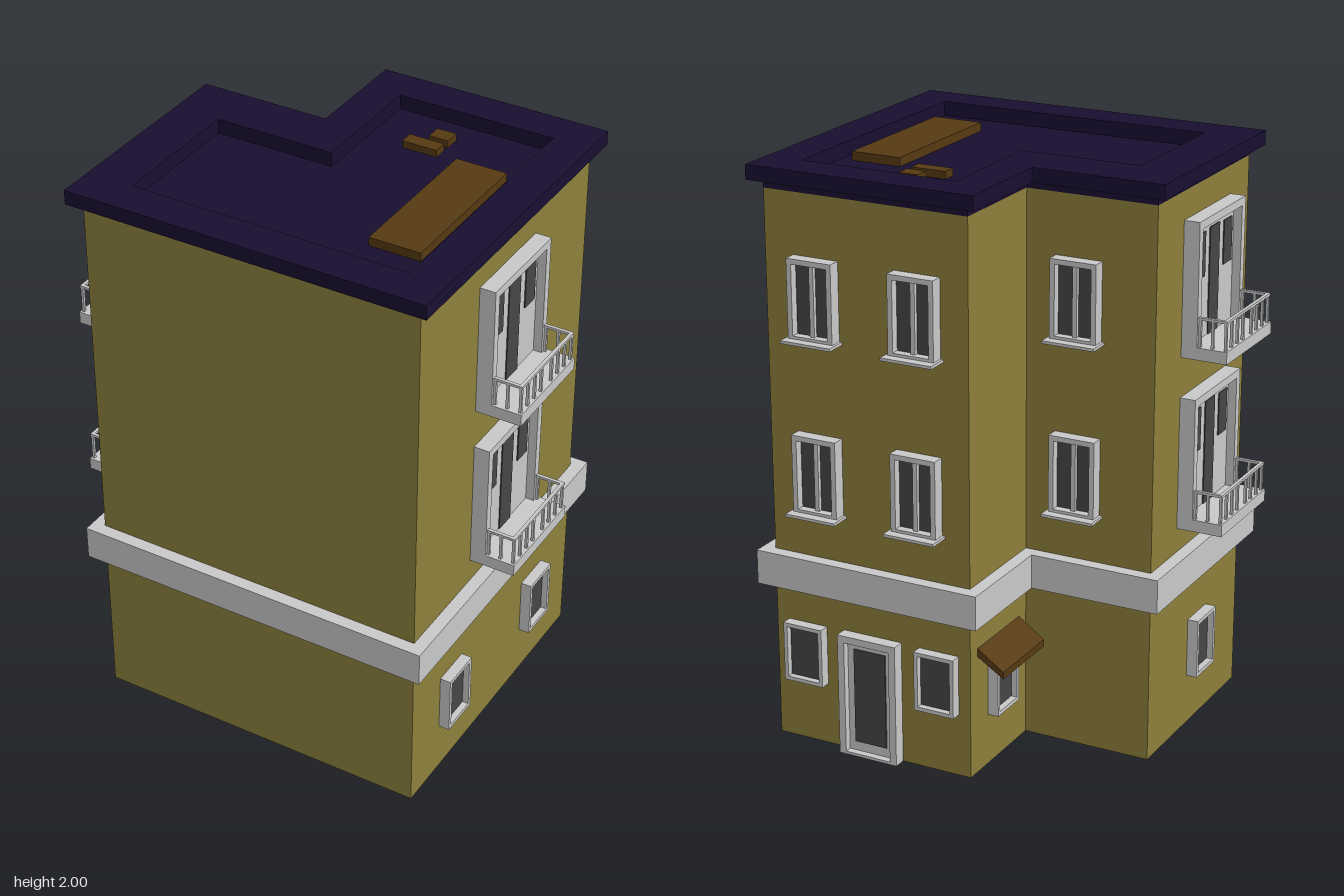
import * as THREE from 'three';

const mat = (color) => new THREE.MeshStandardMaterial({ color });
const wallMat = mat(0x8f813c), roofMat = mat(0x190f32), brownMat = mat(0x573a13);
const trimMat = mat(0xcccccc), glassMat = mat(0x474747);

function mesh(name, geo, material, x = 0, y = 0, z = 0) {
  const m = new THREE.Mesh(geo, material);
  m.name = name;
  m.position.set(x, y, z);
  return m;
}
const box = (name, w, h, d, material, x, y, z) => mesh(name, new THREE.BoxGeometry(w, h, d), material, x, y, z);

// L-shaped floor plan grown outwards by d, as [x, z]
const plan = (d) => [
  [-0.6 - d, 0.57 + d], [0.6 + d, 0.57 + d], [0.6 + d, -0.54 - d],
  [-0.14 - d, -0.54 - d], [-0.14 - d, -0.15 - d], [-0.6 - d, -0.15 - d],
];

// Upright prism of a plan between two heights, with an optional hole
function prism(name, outer, hole, y0, y1, material) {
  const pts = (list) => list.map(([x, z]) => new THREE.Vector2(x, -z));
  const shape = new THREE.Shape(pts(outer));
  if (hole) shape.holes.push(new THREE.Path(pts(hole)));
  const geo = new THREE.ExtrudeGeometry(shape, { depth: y1 - y0, bevelEnabled: false });
  geo.rotateX(-Math.PI / 2);
  return mesh(name, geo, material, 0, y0, 0);
}

// Rectangular frame standing on y = 0, from z = 0 to z = depth
function frame(name, w, h, border, depth, bottom = border) {
  const rect = (x, y0, y1) => [[-x, y0], [x, y0], [x, y1], [-x, y1]].map((p) => new THREE.Vector2(...p));
  const shape = new THREE.Shape(rect(w / 2, 0, h));
  shape.holes.push(new THREE.Path(rect(w / 2 - border, bottom, h - border)));
  return mesh(name, new THREE.ExtrudeGeometry(shape, { depth, bevelEnabled: false }), trimMat);
}

function named(name, ...children) {
  const g = new THREE.Group();
  g.name = name;
  if (children.length) g.add(...children);
  return g;
}

// Single-pane window of the ground floor
function smallWindow(w = 0.148, h = 0.21) {
  return named('groundWindow',
    frame('windowFrame', w, h, 0.014, 0.038),
    box('windowPane', w - 0.02, h - 0.02, 0.016, glassMat, 0, h / 2, 0.008));
}

// Double casement window with a sill
function tallWindow() {
  const w = 0.165, h = 0.275;
  return named('casementWindow',
    frame('windowFrame', w, h, 0.018, 0.045),
    box('windowPane', w - 0.02, h - 0.02, 0.016, glassMat, 0, h / 2, 0.008),
    box('mullion', 0.016, h - 0.03, 0.03, trimMat, 0, h / 2, 0.015),
    box('windowSill', 0.185, 0.01, 0.078, trimMat, 0, 0.003, 0.039));
}

function entrance() {
  const w = 0.22, h = 0.435;
  return named('entranceDoor',
    frame('doorFrame', w, h, 0.025, 0.045, 0.01),
    box('doorLeaf', w - 0.04, h - 0.02, 0.02, trimMat, 0, h / 2, 0.01),
    box('doorPane', 0.12, 0.34, 0.008, glassMat, 0, 0.215, 0.021));
}

// Balcony door, slab and railing
function balcony() {
  const w = 0.37, h = 0.46;
  const g = named('balcony',
    frame('doorSurround', w, h, 0.028, 0.055, 0.03),
    box('doorPanel', w - 0.04, h - 0.04, 0.025, trimMat, 0, h / 2, 0.0125),
    box('doorPane', 0.076, 0.37, 0.008, glassMat, 0, 0.22, 0.025),
    box('balconySlab', w, 0.042, 0.16, trimMat, 0, 0.021, 0.08),
    box('frontRail', 0.356, 0.009, 0.012, trimMat, 0, 0.138, 0.15));
  for (const s of [-1, 1]) {
    g.add(box('sidePane', 0.066, 0.15, 0.008, glassMat, s * 0.107, 0.325, 0.025));
    g.add(box('sideRail', 0.012, 0.009, 0.1, trimMat, s * 0.172, 0.138, 0.103));
    g.add(box('sideBar', 0.009, 0.098, 0.009, trimMat, s * 0.172, 0.09, 0.104));
    g.add(box('sideBar', 0.009, 0.098, 0.009, trimMat, s * 0.172, 0.09, 0.06));
    for (const x of [0.035, 0.08, 0.126, 0.172])
      g.add(box('frontBar', 0.009, 0.098, 0.009, trimMat, s * x, 0.09, 0.15));
  }
  return g;
}

// Sloping awning
function awning() {
  const profile = [[0, 0.45], [0.095, 0.385], [0.095, 0.36], [0, 0.42]].map((p) => new THREE.Vector2(...p));
  const geo = new THREE.ExtrudeGeometry(new THREE.Shape(profile), { depth: 0.29, bevelEnabled: false });
  geo.translate(0, 0, -0.145).rotateY(-Math.PI / 2);
  return mesh('awning', geo, brownMat);
}

export function createModel() {
  const model = named('building');

  // Walls, open underneath, with a band that runs right through
  model.add(
    prism('lowerWalls', plan(0), plan(-0.004), 0, 0.56, wallMat),
    prism('upperWalls', plan(0), plan(-0.004), 0.68, 1.92, wallMat),
    prism('band', plan(0.045), plan(-0.006), 0.56, 0.68, trimMat));

  // Roof with a sunken terrace
  const terrace = [[-0.475, 0.48], [0.51, 0.48], [0.51, -0.45], [-0.05, -0.45], [-0.05, -0.01], [-0.475, -0.01]];
  model.add(
    prism('roofSlab', plan(0), null, 1.92, 1.95, roofMat),
    prism('roofEdge', plan(0.04), terrace, 1.95, 2, roofMat),
    box('roofPanel', 0.18, 0.03, 0.55, brownMat, 0.38, 1.965, 0.065),
    box('roofHatch', 0.07, 0.025, 0.055, brownMat, 0.175, 1.9625, -0.33),
    box('roofHatch', 0.125, 0.025, 0.05, brownMat, 0.145, 1.9625, -0.255));

  // Put a part on a wall, facing outwards
  const place = (part, x, y, z, turn) => {
    part.position.set(x, y, z);
    part.rotation.y = turn * Math.PI / 2;
    model.add(part);
  };

  // Upper floors
  for (const floor of [0, 1]) {
    const dy = floor * 0.598;
    place(balcony(), 0.6, 0.765 + dy, 0.015, 1);
    place(balcony(), -0.6, 0.765 + dy, 0.235, -1);
    for (const [x, z] of [[0.0425, -0.54], [0.4125, -0.54], [-0.3275, -0.15]])
      place(tallWindow(), x, 0.84 + dy, z, 2);
  }

  // Ground floor
  place(smallWindow(), 0.6, 0.18, 0.31, 1);
  place(smallWindow(), 0.6, 0.18, -0.27, 1);
  place(smallWindow(), -0.6, 0.18, 0.235, -1);
  place(smallWindow(), -0.14, 0.18, -0.345, -1);
  place(smallWindow(), 0.48, 0.222, -0.54, 2);
  place(smallWindow(), -0.022, 0.222, -0.54, 2);
  place(entrance(), 0.229, 0, -0.54, 2);
  place(awning(), -0.14, 0, -0.345, -1);

  return model;
}
